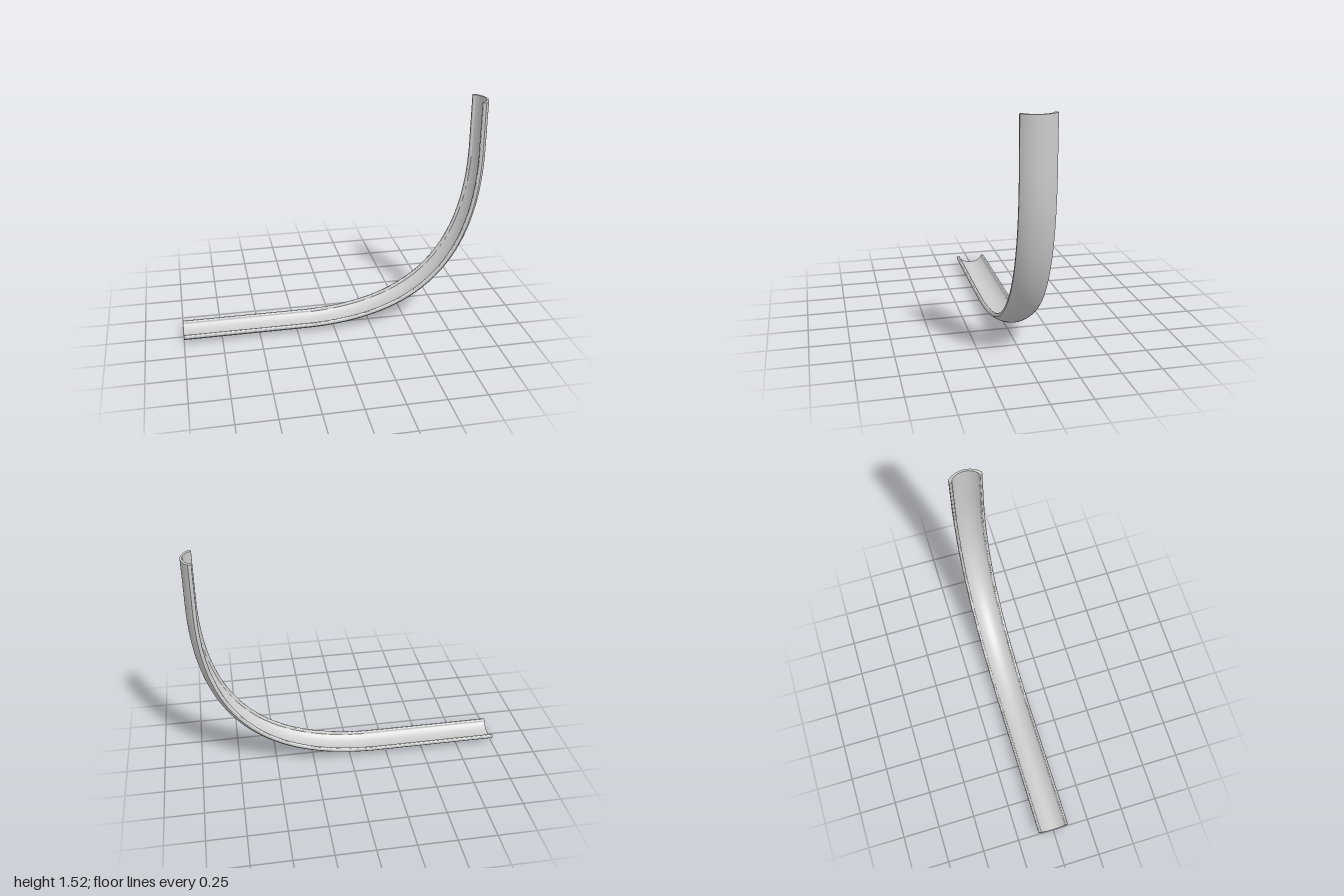
import * as THREE from 'three';
import { toCreasedNormals } from 'three/addons/utils/BufferGeometryUtils.js';

const HALF = 0.105;  // half width of the channel
const LIP = 0.011;   // radius of the rounded rims

// Closed cross-section: shallow outer arc, two rounded rims, inner arc.
function channelSection() {
  const outerR = 0.145, innerR = 0.1115, innerHalf = HALF - 2 * LIP;
  const outerY = outerR, innerY = 0.013 + innerR;
  const outerA = Math.asin(HALF / outerR), innerA = Math.asin(innerHalf / innerR);
  const down = -Math.PI / 2, rimY = 0.056;
  const s = new THREE.Shape();
  s.absarc(0, outerY, outerR, down - outerA, down + outerA, false);
  s.lineTo(HALF, rimY);
  s.absarc(HALF - LIP, rimY, LIP, 0, Math.PI, false);
  s.absarc(0, innerY, innerR, down + innerA, down - innerA, true);
  s.lineTo(-innerHalf, rimY);
  s.absarc(-HALF + LIP, rimY, LIP, 0, Math.PI, false);
  s.closePath();
  return s;
}

// Underside line: flat run, wide bend, upright end.
function channelPath() {
  return new THREE.Path()
    .moveTo(-1, 0)
    .lineTo(-0.2, 0)
    .bezierCurveTo(0.6, 0, 1, 0.41, 1, 1.2)
    .lineTo(1, 1.52);
}

// Bend a straight unit-long extrusion along the path.
function bendAlong(geometry, path) {
  const pos = geometry.attributes.position;
  for (let i = 0; i < pos.count; i++) {
    const t = THREE.MathUtils.clamp(pos.getZ(i), 0, 1);
    const p = path.getPoint(t), d = path.getTangent(t);
    const side = pos.getX(i), height = pos.getY(i);
    pos.setXYZ(i, p.x - d.y * height, p.y + d.x * height, -side);
  }
  return geometry;
}

export function createModel() {
  const group = new THREE.Group();
  group.name = 'curvedChannel';
  const straight = new THREE.ExtrudeGeometry(channelSection(), {
    depth: 1, steps: 100, curveSegments: 14, bevelEnabled: false,
  });
  const geometry = toCreasedNormals(bendAlong(straight, channelPath()), 0.55);
  const channel = new THREE.Mesh(geometry, new THREE.MeshStandardMaterial({ color: 0xcccccc }));
  channel.name = 'channel';
  group.add(channel);
  return group;
}
